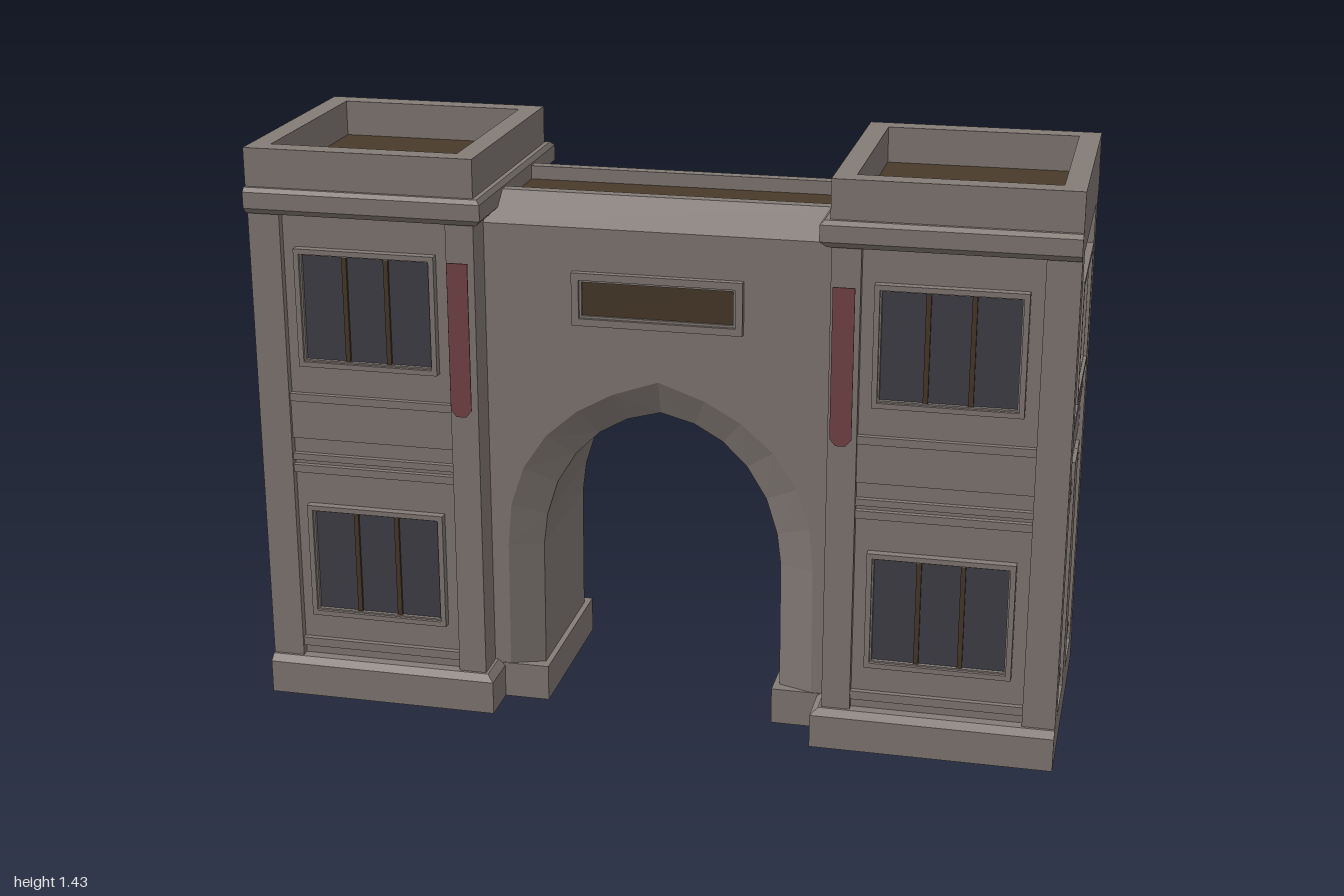
import * as THREE from 'three';

const mat = (name, color) => Object.assign(new THREE.MeshStandardMaterial({ color }), { name });

export function createModel() {
  const stone = mat('stone', 0x857c77);
  const timber = mat('dark timber', 0x4a3b2a);
  const glass = mat('dark glass', 0x42414a);
  const cloth = mat('banner cloth', 0x784649);
  const model = new THREE.Group();
  model.name = 'gatehouse';

  const add = (parent, name, geo, material = stone) => {
    const m = new THREE.Mesh(geo, material);
    m.name = name;
    parent.add(m);
    return m;
  };
  // Box given by its limits on each axis
  const block = (parent, name, [x0, x1], [y0, y1], [z0, z1], material) => {
    const geo = new THREE.BoxGeometry(Math.abs(x1 - x0), y1 - y0, z1 - z0);
    geo.translate((x0 + x1) / 2, (y0 + y1) / 2, (z0 + z1) / 2);
    return add(parent, name, geo, material);
  };
  const rectPath = (path, w, h) => {
    path.moveTo(-w, -h); path.lineTo(w, -h); path.lineTo(w, h); path.lineTo(-w, h);
    path.closePath();
    return path;
  };
  // Rectangular ring of half size w, h and border t, extruded along z
  const ring = (w, h, t, depth) => {
    const shape = rectPath(new THREE.Shape(), w, h);
    shape.holes.push(rectPath(new THREE.Path(), w - t, h - t));
    return new THREE.ExtrudeGeometry(shape, { depth, bevelEnabled: false });
  };

  // Window in facade space: z = 0 is the wall face, the recess lies at -0.02
  const windowUnit = (parent, y) => {
    const g = new THREE.Group();
    g.name = 'window';
    g.position.y = y;
    parent.add(g);
    add(g, 'windowFrame', ring(0.178, 0.15, 0.013, 0.022)).position.z = -0.02;
    add(g, 'windowInnerFrame', ring(0.168, 0.14, 0.007, 0.014)).position.z = -0.02;
    block(g, 'windowGlass', [-0.164, 0.164], [-0.136, 0.136], [-0.022, -0.016], glass);
    for (const x of [-0.053, 0.053])
      block(g, 'windowBar', [x - 0.006, x + 0.006], [-0.136, 0.136], [-0.018, -0.009], timber);
  };
  const ledges = (parent, x0, x1, heights) => {
    for (const [y0, y1] of heights) block(parent, 'ledge', [x0, x1], [y0, y1], [-0.022, -0.006]);
  };
  const midLedges = [[0.635, 0.652], [0.602, 0.622]];
  const footLedge = [[0.125, 0.147]];

  // One face of a tower: upper window, rail, and a window, door or twin panels below
  const facade = (kind) => {
    const g = new THREE.Group();
    g.name = kind + 'Facade';
    const w = kind === 'side' ? 0.232 : 0.212;
    windowUnit(g, 1.035);
    ledges(g, -w, w, [[0.79, 0.81]]);
    block(g, 'rail', [-w, w], [0.692, 0.79], [-0.022, -0.01]);
    if (kind === 'side') {
      block(g, 'stile', [-0.053, 0.053], [0.1, 0.695], [-0.022, 0]);
      for (const s of [-1, 1])
        ledges(g, s * 0.053, s * w, [...midLedges, ...footLedge]);
    } else {
      ledges(g, -w, w, midLedges);
      if (kind === 'front') {
        windowUnit(g, 0.367);
        ledges(g, -w, w, footLedge);
      } else {
        block(g, 'door', [-0.105, 0.105], [0.1, 0.55], [-0.022, -0.015], timber);
        block(g, 'doorHead', [-0.14, 0.14], [0.55, 0.585], [-0.022, 0.004]);
        for (const s of [-1, 1]) {
          block(g, 'doorJamb', [s * 0.105, s * 0.14], [0.1, 0.55], [-0.022, 0.002]);
          ledges(g, s * 0.14, s * w, footLedge);
        }
      }
    }
    return g;
  };

  // Slab with its front, back and inner edges tapered; the outer side stays flush
  const slab = (parent, name, s, y0, y1, topInset, bottomInset) => {
    const geo = new THREE.BoxGeometry(0.595, y1 - y0, 0.66);
    const p = geo.attributes.position;
    for (let i = 0; i < p.count; i++) {
      const inset = p.getY(i) > 0 ? topInset : bottomInset;
      p.setZ(i, p.getZ(i) - Math.sign(p.getZ(i)) * inset);
      if (p.getX(i) * s < 0) p.setX(i, p.getX(i) + s * inset);
    }
    geo.computeVertexNormals();
    geo.translate(s * 0.7025, (y0 + y1) / 2, 0);
    add(parent, name, geo);
  };

  for (const s of [1, -1]) {
    const tower = new THREE.Group();
    tower.name = s > 0 ? 'leftTower' : 'rightTower';
    model.add(tower);

    slab(tower, 'plinth', s, 0, 0.085, 0, 0);
    slab(tower, 'plinthBevel', s, 0.085, 0.1, 0.018, 0);
    block(tower, 'towerCore', [s * 0.431, s * 0.98], [0.1, 1.27], [-0.285, 0.285]);
    for (const z of [-1, 1])
      for (const xs of [[0.43, 0.5], [0.92, 1]])
        block(tower, 'cornerPilaster', xs.map((x) => x * s), [0.1, 1.27],
          z > 0 ? [0.232, 0.305] : [-0.305, -0.232]);
    slab(tower, 'corniceSoffit', s, 1.27, 1.285, 0, 0.015);
    slab(tower, 'cornice', s, 1.285, 1.325, 0, 0);
    slab(tower, 'corniceBevel', s, 1.325, 1.335, 0.01, 0);

    // Parapet and sunken roof
    const parapet = add(tower, 'parapet', ring(0.2865, 0.31, 0.052, 0.095));
    parapet.rotation.x = -Math.PI / 2;
    parapet.position.set(s * 0.7135, 1.335, 0);
    block(tower, 'towerRoof', [s * 0.477, s * 0.95], [1.335, 1.341], [-0.26, 0.26], timber);

    const front = facade('front');
    front.position.set(s * 0.71, 0, 0.305);
    const back = facade('back');
    back.position.set(s * 0.71, 0, -0.305);
    back.rotation.y = Math.PI;
    const side = facade('side');
    side.position.set(s, 0, 0);
    side.rotation.y = s * Math.PI / 2;
    tower.add(front, back, side);

    // Hanging banner with clipped lower corners
    const flag = new THREE.Shape();
    flag.moveTo(-0.026, 1.18); flag.lineTo(-0.026, 0.81); flag.lineTo(-0.012, 0.793);
    flag.lineTo(0.012, 0.793); flag.lineTo(0.026, 0.81); flag.lineTo(0.026, 1.18);
    const banner = add(tower, 'banner',
      new THREE.ExtrudeGeometry(flag, { depth: 0.003, bevelEnabled: false }), cloth);
    banner.position.set(s * 0.465, 0, 0.328);

    block(model, 'archFoot', [s * 0.29, s * 0.41], [0, 0.093], [-0.222, 0.222]);
  }

  // Arch outlines from the +x foot over the crown to the -x foot
  const mirrored = (half) => [...half, ...half.slice(0, -1).reverse().map(([x, y]) => [-x, y])];
  const outer = mirrored([[0.39, 0], [0.388, 0.42], [0.378, 0.53], [0.345, 0.63], [0.285, 0.72],
    [0.205, 0.79], [0.115, 0.84], [0, 0.88]]);
  const inner = mirrored([[0.305, 0], [0.303, 0.42], [0.293, 0.5], [0.265, 0.59], [0.216, 0.67],
    [0.155, 0.73], [0.085, 0.77], [0, 0.793]]);

  // Wall between the towers
  const wall = new THREE.Shape([[0.433, 0], [0.433, 1.255], [-0.433, 1.255], [-0.433, 0],
    ...outer.slice().reverse()].map(([x, y]) => new THREE.Vector2(x, y)));
  add(model, 'archWall', new THREE.ExtrudeGeometry(wall, { depth: 0.44, bevelEnabled: false }))
    .position.z = -0.22;

  // Chamfered arch edges and the vault, lofted through four outlines
  const rows = [[outer, 0.22], [inner, 0.19], [inner, -0.19], [outer, -0.22]];
  const verts = [], faces = [];
  rows.forEach(([pts, z]) => pts.forEach(([x, y]) => verts.push(x, y, z)));
  const n = outer.length;
  for (let j = 0; j < 3; j++)
    for (let i = 0; i < n - 1; i++) {
      const a = j * n + i, c = a + n;
      faces.push(a, a + 1, c, a + 1, c + 1, c);
    }
  let vault = new THREE.BufferGeometry();
  vault.setAttribute('position', new THREE.Float32BufferAttribute(verts, 3));
  vault.setIndex(faces);
  vault = vault.toNonIndexed();
  vault.computeVertexNormals();
  add(model, 'archVault', vault);

  // Sloped coping and walkway above the arch
  const half = [[0.22, 1.255], [0.14, 1.32], [0.11, 1.32], [0.11, 1.28]];
  const coping = new THREE.Shape([...half, ...half.map(([x, y]) => [-x, y]).reverse()]
    .map(([x, y]) => new THREE.Vector2(x, y)));
  const copingGeo = new THREE.ExtrudeGeometry(coping, { depth: 0.866, bevelEnabled: false });
  copingGeo.translate(0, 0, -0.433).rotateY(Math.PI / 2);
  add(model, 'coping', copingGeo);
  block(model, 'walkway', [-0.43, 0.43], [1.278, 1.286], [-0.11, 0.11], timber);

  // Framed panel over the arch
  const panel = new THREE.Group();
  panel.name = 'panel';
  panel.position.set(0, 1.082, 0.22);
  model.add(panel);
  add(panel, 'panelFrame', ring(0.21, 0.066, 0.018, 0.018));
  add(panel, 'panelInnerFrame', ring(0.194, 0.05, 0.008, 0.01));
  block(panel, 'panelBoard', [-0.188, 0.188], [-0.044, 0.044], [-0.002, 0.004], timber);

  return model;
}
